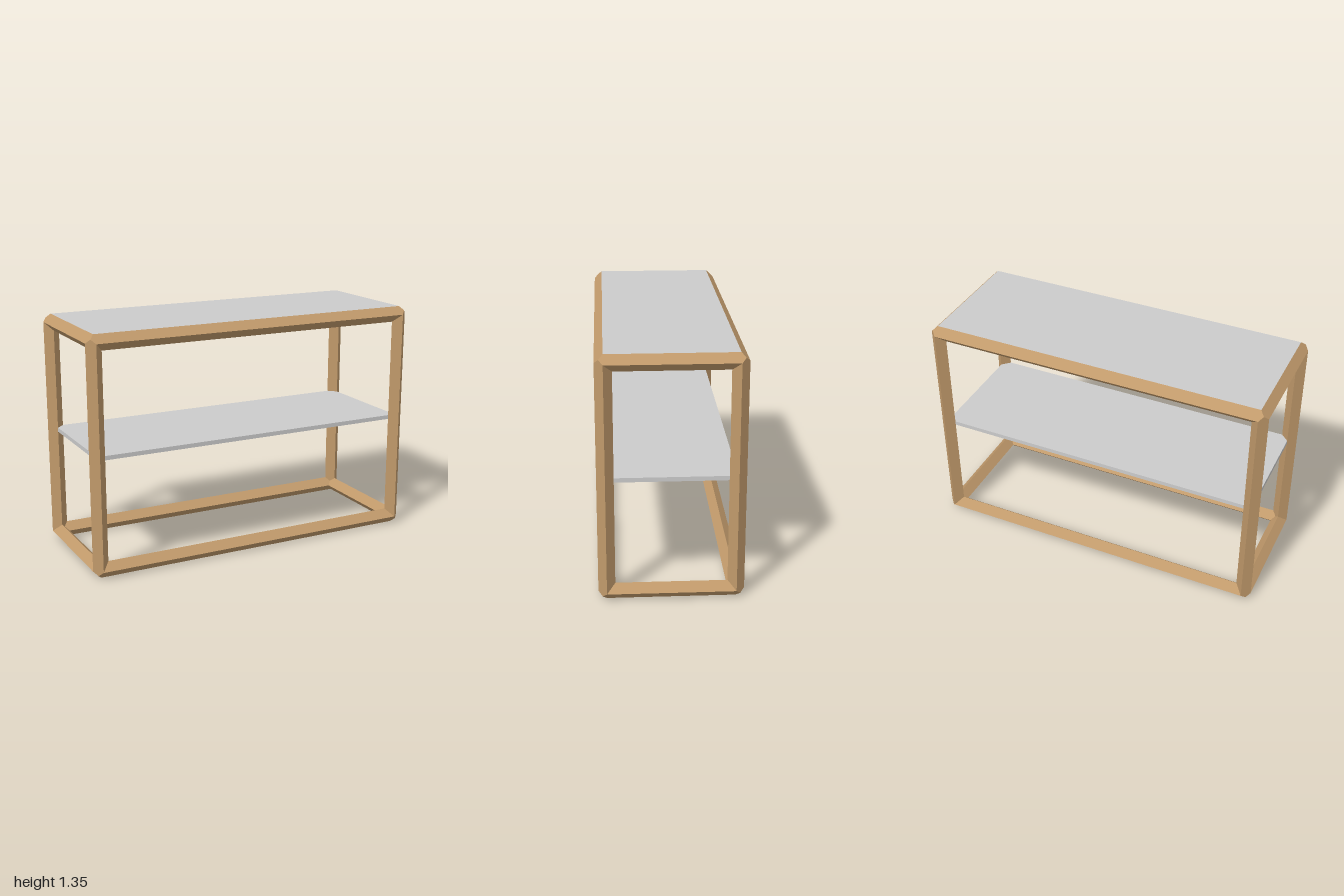
import * as THREE from 'three';

export function createModel() {
  const model = new THREE.Group();
  const wood = new THREE.MeshStandardMaterial({ color: 0xc19a6b, flatShading: true });
  const grey = new THREE.MeshStandardMaterial({ color: 0xcccccc });

  const r = 0.045;                      // half the diagonal of a bar
  const height = 1.35;
  const X = 1 - r, Z = 0.388 - r;       // centre lines of the bars
  const lowY = r, highY = height - r, midY = height / 2;

  // Diamond-section bar along one axis, ending on the corner centres
  function addBar(name, axis, length, x, y, z) {
    const geometry = new THREE.CylinderGeometry(r, r, length, 4, 1, true);
    if (axis === 'x') geometry.rotateZ(Math.PI / 2);
    if (axis === 'z') geometry.rotateX(Math.PI / 2);
    const bar = new THREE.Mesh(geometry, wood);
    bar.name = name;
    bar.position.set(x, y, z);
    model.add(bar);
  }

  // Shallow three-sided point that closes the mitre where three bars meet
  const h = r / 2;
  const tip = new THREE.BufferGeometry();
  tip.setAttribute('position', new THREE.Float32BufferAttribute(
    [r, 0, 0, 0, r, 0, 0, 0, r, h, h, h], 3));
  tip.setIndex([0, 1, 3, 1, 2, 3, 2, 0, 3]);
  tip.computeVertexNormals();

  for (const s of [-1, 1]) {
    for (const t of [-1, 1]) {
      const y = t < 0 ? lowY : highY;
      const level = t < 0 ? 'bottom' : 'top';
      addBar(level + 'LongRail', 'x', 2 * X, 0, y, s * Z);
      addBar(level + 'SideRail', 'z', 2 * Z, s * X, y, 0);
      addBar('cornerPost', 'y', highY - lowY, s * X, midY, t * Z);
      for (const u of [-1, 1]) {
        const corner = new THREE.Mesh(tip, wood);
        corner.name = level + 'Corner';
        corner.position.set(s * X, y, u * Z);
        corner.scale.set(s, t, u);
        model.add(corner);
      }
    }
  }

  // Top panel and middle shelf
  const thickness = 0.024;
  const panel = new THREE.BoxGeometry(2 * X, thickness, 2 * Z);
  for (const [name, y] of [['topPanel', height - thickness / 2], ['middleShelf', 0.677]]) {
    const mesh = new THREE.Mesh(panel, grey);
    mesh.name = name;
    mesh.position.y = y;
    model.add(mesh);
  }
  return model;
}
